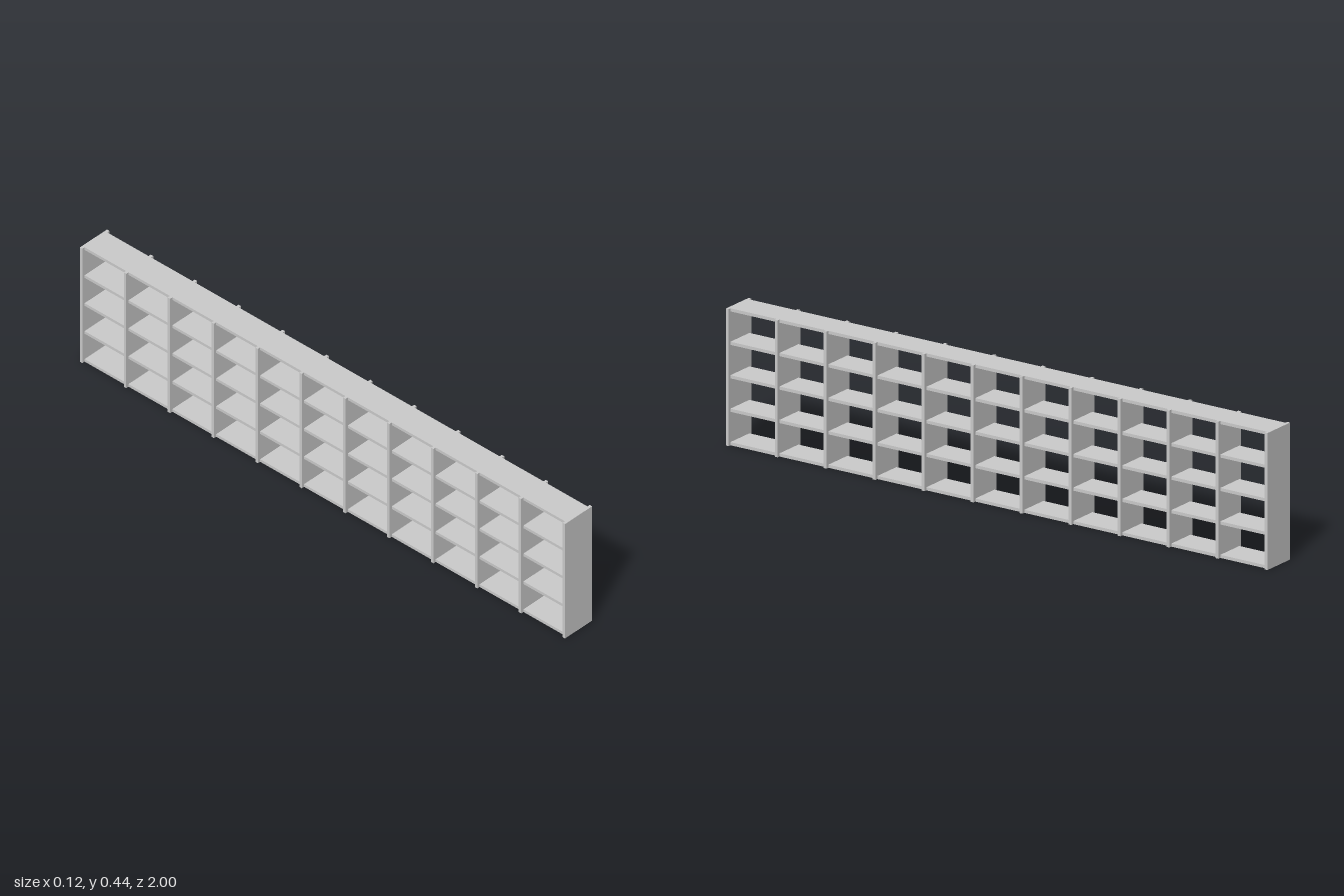
import * as THREE from 'three';

const LENGTH = 2, HEIGHT = 0.438, BOARD = 0.01;
const PANEL_DEPTH = 0.12, SHELF_DEPTH = 0.1;
const BAYS = 11, ROWS = 4;

export function createModel() {
  const group = new THREE.Group();
  group.name = 'shelvingUnit';
  const material = new THREE.MeshStandardMaterial({ color: 0xcccccc });

  const addBoard = (name, geometry, y, z) => {
    const mesh = new THREE.Mesh(geometry, material);
    mesh.name = name;
    mesh.position.set(0, y, z);
    group.add(mesh);
  };

  // Upright panels: two ends and the dividers, slightly deeper than the shelves
  const panel = new THREE.BoxGeometry(PANEL_DEPTH, HEIGHT, BOARD);
  const pitch = (LENGTH - BOARD) / BAYS;
  for (let i = 0; i <= BAYS; i++) {
    const end = i === 0 || i === BAYS;
    addBoard(end ? 'endPanel' : 'divider', panel, HEIGHT / 2, -LENGTH / 2 + BOARD / 2 + i * pitch);
  }

  // Shelf boards fitted between the uprights, open on both sides
  const shelf = new THREE.BoxGeometry(SHELF_DEPTH, BOARD, pitch - BOARD);
  const rise = (HEIGHT - BOARD) / ROWS;
  for (let row = 0; row <= ROWS; row++) {
    const name = row === 0 ? 'bottomBoard' : row === ROWS ? 'topBoard' : 'shelf';
    for (let bay = 0; bay < BAYS; bay++) {
      addBoard(name, shelf, BOARD / 2 + row * rise, (bay - (BAYS - 1) / 2) * pitch);
    }
  }
  return group;
}
